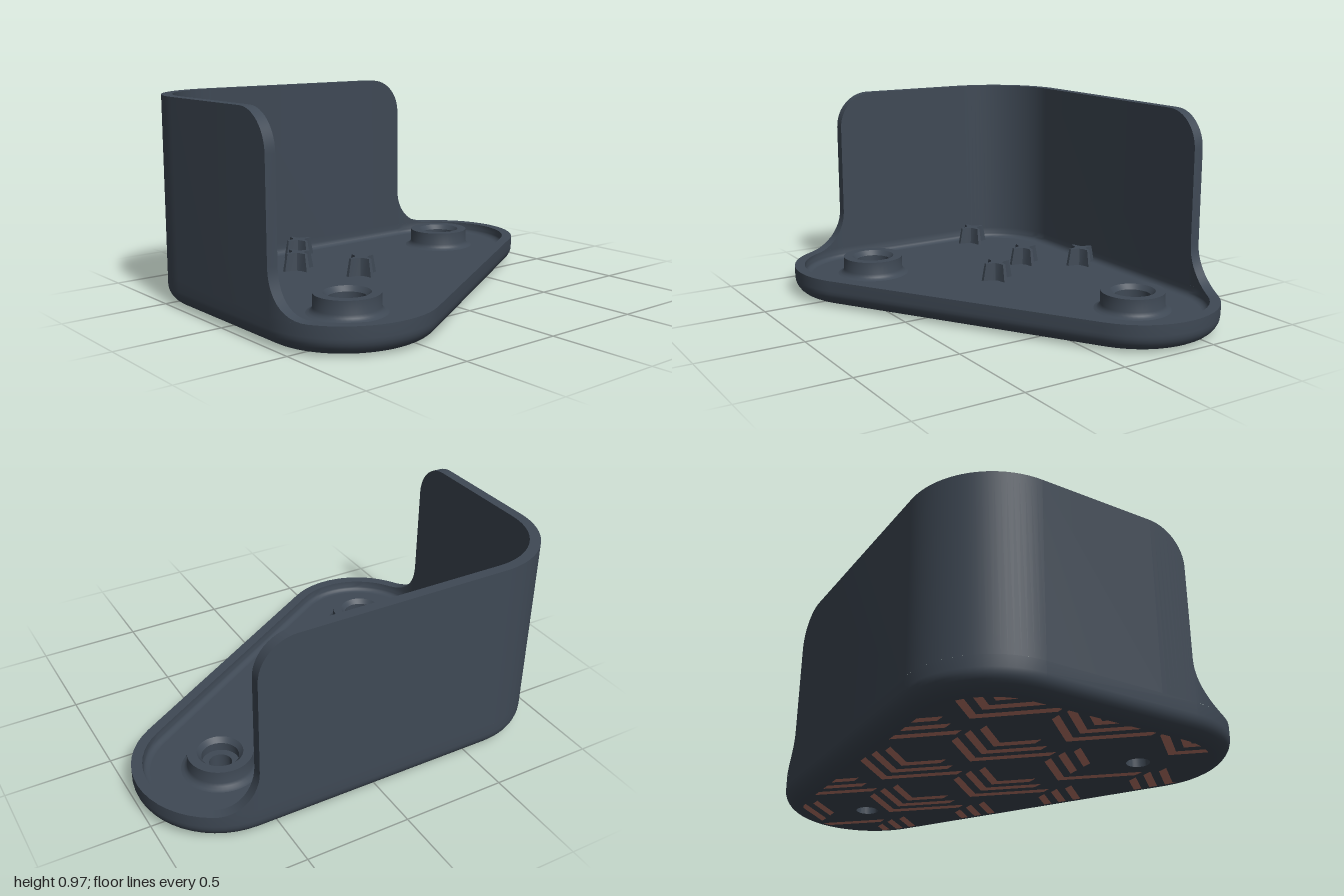
import * as THREE from 'three';
import { toCreasedNormals, mergeGeometries } from 'three/addons/utils/BufferGeometryUtils.js';

const BACK = [-0.37, -0.6], CORNER = [-0.37, 0.6], FRONT = [0.37, 0.6];
const SLANT = -Math.atan2(0.74, 1.2); // outward direction of the slanted side
const BOSSES = [BACK, FRONT];
const FLOOR = 0.08, RIM = 0.135, TOP = 0.97, BOTTOM = 0.003;

const polar = ([x, z], r, a) => [x + r * Math.cos(a), z + r * Math.sin(a)];
const range = (n, f) => Array.from({ length: n + 1 }, (_, i) => f(i / n));

// Rounded triangle around the three corner centres, radius r
function outline(r) {
  const arcs = [
    [FRONT, SLANT, Math.PI / 2],
    [CORNER, Math.PI / 2, Math.PI],
    [BACK, Math.PI, 2 * Math.PI + SLANT],
  ];
  return arcs.flatMap(([c, a, b]) => range(20, t => polar(c, r, a + (b - a) * t)));
}

// Skin between rows of [x, y, z] points
function loft(rows, closed) {
  const n = rows[0].length, index = [];
  for (let i = 0; i < rows.length - 1; i++) {
    for (let j = 0; j < (closed ? n : n - 1); j++) {
      const k = (j + 1) % n, a = i * n + j, b = a + n, c = (i + 1) * n + k, d = i * n + k;
      index.push(a, b, d, b, c, d);
    }
  }
  const g = new THREE.BufferGeometry();
  g.setAttribute('position', new THREE.Float32BufferAttribute(rows.flat(2), 3));
  g.setIndex(index);
  return toCreasedNormals(g, 0.5);
}

// Flat horizontal face from [x, z] points, facing up or down
function flat(points, y, up, holeRadius = 0) {
  const s = up ? -1 : 1;
  const shape = new THREE.Shape(points.map(([x, z]) => new THREE.Vector2(x, s * z)));
  if (holeRadius) {
    for (const [x, z] of BOSSES) {
      shape.holes.push(new THREE.Path().absarc(x, s * z, holeRadius, 0, Math.PI * 2, true));
    }
  }
  return new THREE.ShapeGeometry(shape, 24).rotateX(s * Math.PI / 2).translate(0, y, 0);
}

// Cut a convex polygon to the inside of a convex outline
function clip(poly, edge) {
  edge.forEach((a, i) => {
    const b = edge[(i + 1) % edge.length];
    if (Math.hypot(b[0] - a[0], b[1] - a[1]) < 1e-6) return;
    const side = p => (b[0] - a[0]) * (p[1] - a[1]) - (b[1] - a[1]) * (p[0] - a[0]);
    poly = poly.flatMap((p, j) => {
      const q = poly[(j + 1) % poly.length], sp = side(p), sq = side(q);
      const out = sp >= 0 ? [p] : [];
      if (sp * sq < 0) {
        const t = sp / (sp - sq);
        out.push([p[0] + (q[0] - p[0]) * t, p[1] + (q[1] - p[1]) * t]);
      }
      return out;
    });
  });
  return poly;
}

// Tray skin: rounded foot, outer side, rim, inner side and fillet to the floor
function traySkin() {
  const profile = [
    ...range(8, t => [0.32 + 0.08 * Math.sin(t * Math.PI / 2), BOTTOM + 0.08 * (1 - Math.cos(t * Math.PI / 2))]),
    [0.4, RIM], [0.35, RIM],
    ...range(5, t => [0.32 + 0.03 * Math.cos(t * Math.PI / 2), FLOOR + 0.03 * (1 - Math.sin(t * Math.PI / 2))]),
  ];
  return loft(profile.map(([r, y]) => outline(r).map(([x, z]) => [x, y, z])), true);
}

// Upright wall along two sides, with rounded top ends and flared feet
function wallSkin() {
  const R = 0.2, Q = 0.18, H = Math.PI / 2;
  const end = [
    ...range(12, t => [-R * (1 - Math.sin(t * H)), RIM + R * (1 - Math.cos(t * H))]),
    ...range(12, t => [Q * (1 - Math.cos(t * H)), TOP - Q + Q * Math.sin(t * H)]),
  ];
  const section = (c, a, y) => {
    const [ox, oz] = polar(c, 0.4, a), [ix, iz] = polar(c, 0.35, a);
    return [[ix, RIM, iz], [ix, y, iz], [ox, y, oz], [ox, RIM, oz]];
  };
  const turn = u => Math.asin(Math.max(0, -u) / 0.4);
  const front = end.map(([u, y]) => section([FRONT[0] - Math.max(0, u), FRONT[1]], H - turn(u), y));
  const corner = range(24, t => section(CORNER, H + t * H, TOP));
  const back = end.map(([u, y]) => section([BACK[0], BACK[1] + Math.max(0, u)], Math.PI + turn(u), y)).reverse();
  return loft([...front, ...corner, ...back], false);
}

// Screw boss with filleted foot, countersunk seat and through hole
function bossSkin() {
  const profile = [
    [0.18, FLOOR], [0.167, 0.084], [0.156, 0.093], [0.15, 0.107], [0.15, 0.168],
    [0.105, 0.168], [0.085, 0.145], [0.085, 0.105], [0.052, 0.105], [0.052, BOTTOM],
  ].map(p => new THREE.Vector2(...p));
  return toCreasedNormals(new THREE.LatheGeometry(profile, 48), 0.5);
}

// Tapered four-pointed locating stud
function studSkin() {
  const quarter = [[0.085, -0.009], [0.085, 0.009], [0.043, 0.016], [0.026, 0.026], [0.016, 0.043]];
  const star = [0, 1, 2, 3].flatMap(k => quarter.map(([x, z]) => {
    const c = [1, 0, -1, 0][k], s = [0, 1, 0, -1][k];
    return [x * c - z * s, x * s + z * c];
  }));
  const top = star.map(([x, z]) => [x * 0.8, z * 0.8]);
  const cap = flat(top, 0.168, true).toNonIndexed();
  const sides = loft([star.map(([x, z]) => [x, FLOOR, z]), top.map(([x, z]) => [x, 0.168, z])], true);
  cap.deleteAttribute('uv');
  return mergeGeometries([sides, cap]);
}

// Nested chevrons on a staggered grid, trimmed to the underside
function gripPattern() {
  const edge = outline(0.31), pieces = [], W = 0.05, SLOPE = 0.9;
  const spans = [[0.26, 0.18], [0.19, 0.17], [0.13, 0.14]];
  const nearHole = (x, z, dx) => BOSSES.some(([bx, bz]) =>
    range(8, t => Math.hypot(x + dx * t - bx, z + W / 2 + Math.abs(dx) * SLOPE * t - bz)).some(d => d < 0.09));
  for (let row = -3; row <= 3; row++) {
    for (let col = -2; col <= 2; col++) {
      const x = -0.04 + col * 0.46 + (row % 2 ? 0.23 : 0), z0 = -0.156 + row * 0.4;
      spans.forEach(([right, left], i) => {
        const z = z0 + i * 0.1;
        for (const dx of [right, -left]) {
          if (nearHole(x, z, dx)) continue;
          const dz = Math.abs(dx) * SLOPE;
          const bar = clip([[x, z], [x + dx, z + dz], [x + dx, z + dz + W], [x, z + W]], edge);
          if (bar.length > 2) pieces.push(flat(bar, 0, false));
        }
      });
    }
  }
  return mergeGeometries(pieces);
}

export function createModel() {
  const slate = new THREE.MeshStandardMaterial({ color: 0x3f4955 });
  slate.name = 'slate';
  const clay = new THREE.MeshStandardMaterial({ color: 0xbd7a6c });
  clay.name = 'clay';
  const group = new THREE.Group();
  group.name = 'bracketTray';
  const add = (name, geometry, material, x = 0, z = 0) => {
    const mesh = new THREE.Mesh(geometry, material);
    mesh.name = name;
    mesh.position.set(x, 0, z);
    group.add(mesh);
  };

  add('tray', traySkin(), slate);
  add('floor', flat(outline(0.32), FLOOR, true, 0.175), slate);
  add('underside', flat(outline(0.32), BOTTOM, false, 0.052), slate);
  add('wall', wallSkin(), slate);

  const boss = bossSkin(), stud = studSkin();
  for (const [x, z] of BOSSES) add('screwBoss', boss, slate, x, z);
  for (const [x, z] of [[-0.635, 0.15], [-0.105, 0.15], [-0.39, 0.325], [-0.39, 0.86]]) {
    add('locatingStud', stud, slate, x, z);
  }
  add('gripPattern', gripPattern(), clay);
  return group;
}
